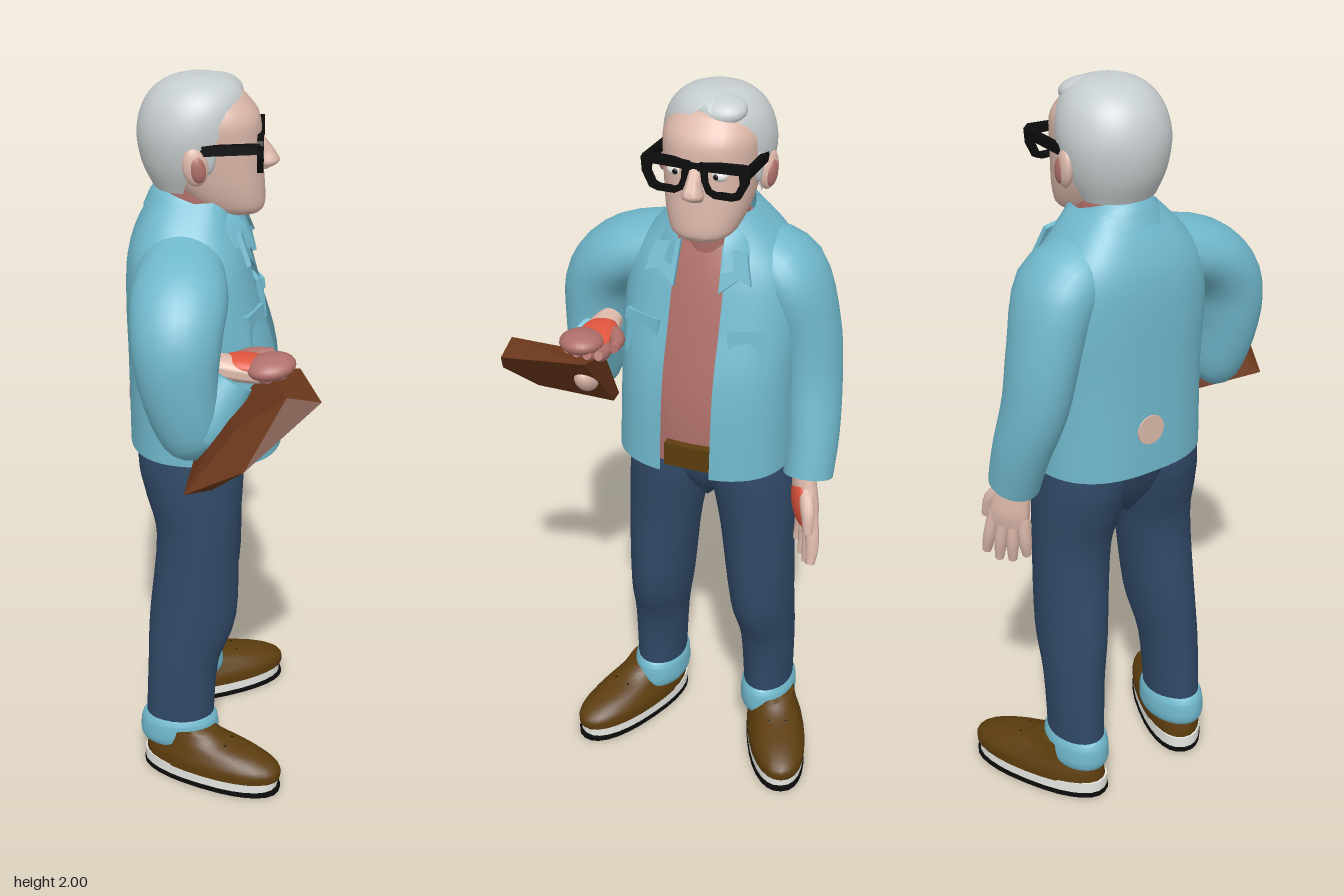
import * as THREE from 'three';
import { toCreasedNormals } from 'three/addons/utils/BufferGeometryUtils.js';
import { ConvexGeometry } from 'three/addons/geometries/ConvexGeometry.js';

const material = (name, color) => Object.assign(new THREE.MeshStandardMaterial({ color, side: THREE.DoubleSide }), { name });
const jacketBlue = material('jacket blue', 0x70b8cc);
const denim = material('denim', 0x304866);
const silver = material('silver hair', 0xc6cdce);
const skin = material('skin', 0xdcb8aa);
const rose = material('rose shirt', 0xb0706a);
const paper = material('brown paper', 0x6a361b);
const leather = material('shoe leather', 0x5c3d0e);
const black = material('black', 0x0c0c0c);
const red = material('red palm', 0xe0553f);
const white = material('white', 0xe6e6e2);

function add(parent, name, geometry, mat, pos = [0, 0, 0], rot = [0, 0, 0], scale = [1, 1, 1]) {
  const m = new THREE.Mesh(geometry, mat);
  m.name = name;
  m.position.set(...pos); m.rotation.set(...rot); m.scale.set(...scale);
  parent.add(m);
  return m;
}

function group(parent, name, pos = [0, 0, 0], rot = [0, 0, 0]) {
  const g = new THREE.Group();
  g.name = name;
  g.position.set(...pos); g.rotation.set(...rot);
  parent.add(g);
  return g;
}

// Smooth skin over rows [x, y, z, radius toward x, other radius, front opening angle].
function loft(rows, { p = 2, flat = false, cap = true, tilt = 0, steps = 4, seg = 28 } = {}) {
  const at = i => rows[Math.max(0, Math.min(rows.length - 1, i))];
  const rings = [];
  for (let i = 0; i < rows.length - 1; i++) {
    for (let s = 0; s < steps || (i === rows.length - 2 && s === steps); s++) {
      const t = s / steps;
      rings.push([0, 1, 2, 3, 4, 5].map(k => {
        const [a, b, c, d] = [-1, 0, 1, 2].map(o => at(i + o)[k] || 0);
        const v = 0.5 * (2 * b + (c - a) * t + (2 * a - 5 * b + 4 * c - d) * t * t + (3 * b - a - 3 * c + d) * t ** 3);
        return k > 2 ? Math.max(0, v) : v;
      }));
    }
  }
  const center = r => new THREE.Vector3(r[0], r[1], r[2]);
  const frames = rings.map((r, i) => {
    const t = flat ? new THREE.Vector3(0, 1, 0)
      : center(rings[Math.min(i + 1, rings.length - 1)]).sub(center(rings[Math.max(i - 1, 0)])).normalize();
    const u = new THREE.Vector3(1, 0, 0).addScaledVector(t, -t.x).normalize();
    return { r, u, v: u.clone().cross(t) };
  });
  if (cap) {
    const closed = f => ({ ...f, r: [f.r[0], f.r[1], f.r[2], 0, 0, 0] });
    frames.unshift(closed(frames[0]));
    frames.push(closed(frames[frames.length - 1]));
  }
  const pos = [], idx = [];
  const bend = x => Math.sign(x) * Math.abs(x) ** (2 / p);
  frames.forEach(({ r, u, v }, i) => {
    for (let j = 0; j <= seg; j++) {
      const open = r[5], a = open + (2 * Math.PI - 2 * open) * j / seg;
      const q = center(r).addScaledVector(u, bend(Math.cos(a)) * r[3]).addScaledVector(v, bend(Math.sin(a)) * r[4]);
      pos.push(q.x, q.y - tilt * (q.x - r[0]), q.z);
      if (i && j) {
        const d = i * (seg + 1) + j, c = d - 1, b = d - seg - 1, e = b - 1;
        idx.push(e, c, b, b, c, d);
      }
    }
  });
  const g = new THREE.BufferGeometry();
  g.setAttribute('position', new THREE.Float32BufferAttribute(pos, 3));
  g.setIndex(idx);
  return toCreasedNormals(g, 1);
}

const ball = new THREE.SphereGeometry(1, 24, 16);

// Hand hangs along -y, thumb toward +x, palm toward +z; reach is finger length, spread fans the tips.
function hand(parent, name, pos, rot, fingerMat, reach, spread) {
  const h = group(parent, name, pos, rot);
  add(h, 'palm', loft([[0, .03, 0, .035, .03], [0, -.03, 0, .047, .032], [.005, -.09, 0, .056, .03], [.005, -.13, 0, .052, .02]]), skin);
  add(h, 'palmInside', ball, red, [.005, -.07, .014], [0, 0, 0], [.05, .075, .024]);
  for (let i = 0; i < 4; i++) {
    const x = -.036 + i * .027, len = reach * [.75, .95, 1, .9][i];
    add(h, 'finger', loft([[x, -.1, 0, .018, .019], [x * (1 + spread * .6), -.12 - len * .5, .006, .018, .018],
      [x * (1 + spread), -.12 - len, .018, .012, .013]], { seg: 10 }), fingerMat);
  }
  add(h, 'thumb', loft([[.025, -.03, .005, .023, .02], [.064, -.075, .014, .021, .019], [.078, -.13, .022, .012, .012]], { seg: 12 }), fingerMat);
}

export function createModel() {
  const root = new THREE.Group();
  root.name = 'standingMan';
  const body = group(root, 'body', [0, 0, -.105]);

  // Trousers, turned-up cuffs and shoes
  add(body, 'hips', loft([[-.08, .84, 0, .06, .01], [-.08, .92, 0, .112, .1], [-.09, 1.03, 0, .142, .19]], { flat: true, p: 2.4 }), denim);
  for (const s of [1, -1]) {
    add(body, 'trouserLeg', loft([[-.088, 1.04, s * .11, .138, .114], [-.083, .96, s * .115, .142, .117], [-.075, .88, s * .122, .132, .115],
      [-.065, .75, s * .136, .114, .102], [-.08, .5, s * .152, .122, .088], [-.108, .35, s * .165, .1, .076],
      [-.12, .14, s * .17, .097, .068]], { flat: true }), denim);
    add(body, 'trouserCuff', loft([[-.12, .1, s * .17, .106, .072], [-.12, .12, s * .17, .113, .078],
      [-.12, .165, s * .17, .11, .076], [-.12, .185, s * .17, .1, .068]], { flat: true }), jacketBlue);
    const shoe = group(body, 'shoe', [-.025, 0, s * .226], [0, -s * .4, 0]);
    add(shoe, 'sole', loft([[0, 0, 0, .212, .083], [0, .015, 0, .212, .083]], { flat: true, p: 2.3, steps: 1 }), black);
    add(shoe, 'midsole', loft([[-.003, .015, 0, .207, .081], [-.003, .048, 0, .207, .081]], { flat: true, p: 2.3, steps: 1 }), white);
    add(shoe, 'upper', loft([[.004, .044, 0, .209, .083], [.004, .075, 0, .205, .082], [-.022, .105, 0, .172, .07],
      [-.07, .13, 0, .12, .062], [-.09, .155, 0, .095, .058]], { flat: true, p: 2.2 }), leather);
    for (let i = 0; i < 3; i++)
      add(shoe, 'lace', new THREE.CapsuleGeometry(.006, .05, 3, 8), black, [.02 + i * .032, .132 - i * .01, 0], [Math.PI / 2, 0, 0]);
  }

  // Shirt, belt and open jacket
  add(body, 'shirt', loft([[-.06, 1.012, 0, .18, .2], [-.06, 1.2, 0, .178, .2], [-.08, 1.42, 0, .158, .2],
    [-.09, 1.55, 0, .135, .17], [-.08, 1.65, 0, .09, .09]], { flat: true, p: 2.4 }), rose);
  add(body, 'beltBuckle', new THREE.BoxGeometry(.035, .065, .125), leather, [.125, 1.052, 0]);
  const jacketRows = [[-.045, 1.01, 0, .207, .235], [-.053, 1.25, 0, .2, .232], [-.077, 1.42, 0, .178, .235],
    [-.09, 1.54, 0, .158, .218], [-.093, 1.62, 0, .128, .165], [-.08, 1.69, 0, .1, .1]]
    .map(r => [...r, Math.asin((.068 / r[4]) ** 1.3)]);
  add(body, 'jacket', loft(jacketRows, { flat: true, cap: false, p: 2.6, seg: 48 }), jacketBlue);
  add(body, 'backPatch', new THREE.CylinderGeometry(.04, .04, .008, 20), skin, [-.252, 1.135, -.015], [0, 0, Math.PI / 2]);
  add(body, 'collar', loft([[-.055, 1.61, 0, .152, .15, .45], [-.055, 1.66, 0, .132, .118, .55], [-.06, 1.685, 0, .11, .098, .6]],
    { flat: true, cap: false, tilt: .32 }), jacketBlue);
  for (const s of [1, -1]) {
    const lapel = new THREE.Shape([[.055, .06], [.12, .045], [.14, -.03], [.105, -.02], [.06, -.06]]
      .map(([z, y]) => new THREE.Vector2(-s * z, y)));
    add(body, 'collarPoint', new THREE.ExtrudeGeometry(lapel, { depth: .012, bevelEnabled: false }).rotateY(Math.PI / 2).rotateZ(.35),
      jacketBlue, [.055, 1.565, 0]);
    add(body, 'chestPocket', new THREE.BoxGeometry(.02, .11, .1), jacketBlue, [.083, 1.36, s * .14], [0, -s * .35, .13]);
    add(body, 'pocketFlap', new THREE.BoxGeometry(.026, .03, .108), jacketBlue, [.079, 1.405, s * .14], [0, -s * .35, .13]);
  }

  // Head
  const head = group(body, 'head');
  add(head, 'neck', loft([[-.07, 1.54, 0, .1, .09], [-.06, 1.64, 0, .095, .085], [-.05, 1.74, 0, .1, .085]], { flat: true }), rose);
  add(head, 'face', loft([[.03, 1.648, 0, .065, .06], [.02, 1.665, 0, .087, .082], [-.005, 1.71, 0, .112, .1], [-.03, 1.77, 0, .132, .112],
    [-.045, 1.84, 0, .143, .12], [-.05, 1.9, 0, .14, .12], [-.055, 1.955, 0, .1, .09]], { flat: true, p: 2.4 }), skin);
  add(head, 'nose', loft([[.09, 1.84, 0, .012, .014], [.108, 1.8, 0, .025, .02], [.113, 1.775, 0, .03, .028], [.1, 1.757, 0, .015, .02]],
    { flat: true, seg: 16 }), skin);
  add(head, 'hair', loft([[-.095, 1.715, 0, .085, .1, 1.6], [-.085, 1.78, 0, .125, .128, 1.5], [-.08, 1.86, 0, .14, .141, 1.05],
    [-.07, 1.93, 0, .13, .126, .5], [-.062, 1.975, 0, .095, .09], [-.06, 1.995, 0, .04, .04], [-.06, 1.997, 0, 0, 0]],
    { flat: true, cap: false, seg: 36 }), silver);
  add(head, 'quiff', ball, silver, [-.005, 1.955, -.025], [0, -.2, -.25], [.055, .034, .07]);
  for (const s of [1, -1]) {
    add(head, 'ear', ball, skin, [-.065, 1.795, s * .132], [0, s * .25, .15], [.033, .05, .018]);
    add(head, 'earInside', ball, rose, [-.058, 1.79, s * .142], [0, s * .25, .15], [.02, .034, .012]);
    add(head, 'sideburn', ball, silver, [-.035, 1.83, s * .115], [0, 0, 0], [.022, .06, .015]);
    add(head, 'eye', ball, white, [.081, 1.822, s * .055], [0, 0, 0], [.016, .015, .022]);
    add(head, 'pupil', ball, black, [.095, 1.822, s * .052], [0, 0, 0], [.004, .007, .007]);
    // Thick spectacles
    const rim = new THREE.Shape([[.012, .04], [.125, .046], [.137, .036], [.134, 0], [.115, -.038], [.095, -.045], [.05, -.045], [.03, -.034], [.018, -.005]]
      .map(([z, y]) => new THREE.Vector2(-s * z, y)));
    rim.holes.push(new THREE.Path([[.032, .02], [.112, .022], [.114, 0], [.102, -.026], [.09, -.031], [.054, -.031], [.042, -.025], [.034, -.006]]
      .map(([z, y]) => new THREE.Vector2(-s * z, y))));
    add(head, 'spectacleRim', new THREE.ExtrudeGeometry(rim, { depth: .016, bevelEnabled: false }), black, [.087, 1.815, 0], [0, Math.PI / 2, 0]);
    add(head, 'spectacleArm', new THREE.BoxGeometry(.16, .026, .012), black, [.016, 1.838, s * .13], [0, 0, .05]);
  }
  add(head, 'spectacleBridge', new THREE.BoxGeometry(.016, .018, .05), black, [.095, 1.843, 0]);

  // Left arm hangs at the side
  add(root, 'leftSleeve', loft([[-.1, 1.56, -.2, .1, .085], [-.1, 1.51, -.292, .125, .092], [-.11, 1.36, -.342, .108, .085],
    [-.1, 1.22, -.365, .097, .078], [-.06, 1.08, -.385, .083, .07], [-.025, .97, -.388, .072, .066]]), jacketBlue);
  hand(root, 'leftHand', [-.015, .965, -.38], [.1, .6, .05], skin, .125, .4);

  // Right arm is bent to hold the bag
  add(root, 'rightUpperSleeve', loft([[-.1, 1.55, 0, .1, .085], [-.1, 1.505, .15, .122, .09], [-.105, 1.42, .228, .115, .092],
    [-.1, 1.3, .245, .1, .083], [-.07, 1.15, .235, .074, .066], [-.05, 1.095, .23, .015, .015]]), jacketBlue);
  add(root, 'rightForeSleeve', loft([[-.06, 1.13, .235, .03, .03], [-.045, 1.17, .23, .075, .07], [.03, 1.3, .195, .06, .055]]), jacketBlue);
  hand(root, 'rightHand', [.005, 1.325, .175], [-Math.PI / 2, .12, Math.PI / 2], rose, .05, .1);
  add(root, 'rightKnuckles', ball, rose, [.13, 1.333, .19], [0, .5, .12], [.066, .03, .058]);
  add(root, 'rightFingertips', ball, skin, [.118, 1.215, .185], [0, 0, .7], [.05, .03, .03]);

  // Crumpled paper bag
  const bag = [[-.08, 1.075, .4], [-.06, 1.08, .17], [-.01, 1.085, .39], [0, 1.09, .16], [.255, 1.315, .36], [.205, 1.31, .15],
    [.17, 1.33, .37], [.12, 1.3, .13], [.07, 1.17, .455], [.02, 1.215, .24], [.05, 1.235, .35], [.1, 1.17, .27]];
  add(root, 'paperBag', new ConvexGeometry(bag.map(q => new THREE.Vector3(...q))), paper);
  return root;
}
